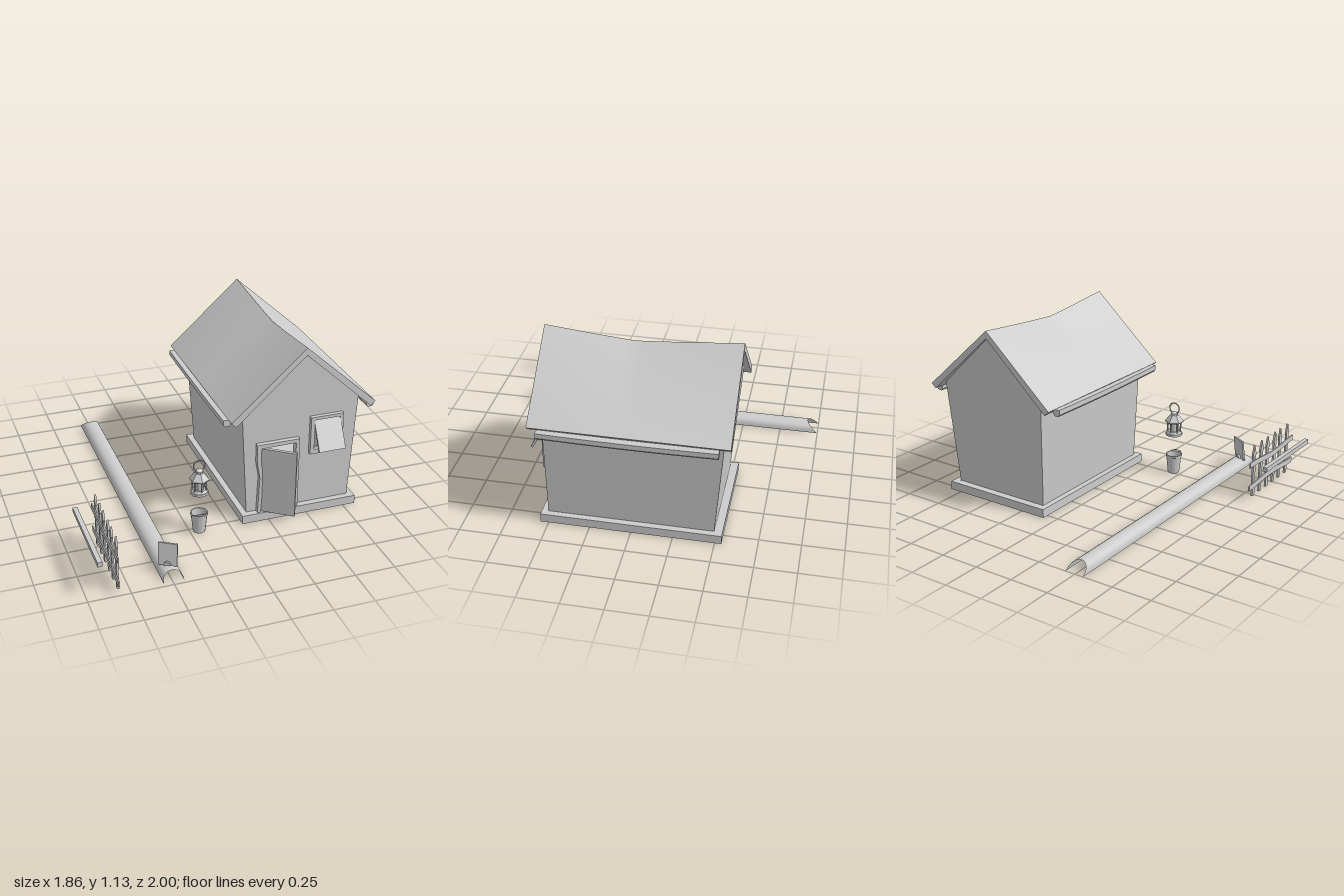
import * as THREE from 'three';

const mat = new THREE.MeshStandardMaterial({ color: 0xcccccc, side: THREE.DoubleSide });
const flat = new THREE.MeshStandardMaterial({ color: 0xcccccc, side: THREE.DoubleSide, flatShading: true });
const lerp = THREE.MathUtils.lerp;

// Add a named mesh to a parent
function add(parent, name, geo, x = 0, y = 0, z = 0, material = mat) {
  const m = new THREE.Mesh(geo, material);
  m.name = name;
  m.position.set(x, y, z);
  parent.add(m);
  return m;
}

// Move every vertex of a geometry by a rule
function warp(geo, rule) {
  const p = geo.attributes.position;
  for (let i = 0; i < p.count; i++) p.setXYZ(i, ...rule(p.getX(i), p.getY(i), p.getZ(i)));
  geo.computeVertexNormals();
  return geo;
}

const poly = (pts) => new THREE.Shape(pts.map(([x, y]) => new THREE.Vector2(x, y)));
const rect = (x0, x1, y0, y1) => poly([[x0, y0], [x1, y0], [x1, y1], [x0, y1]]);
const box = (w, h, d) => new THREE.BoxGeometry(w, h, d);
const extrude = (shape, depth) => new THREE.ExtrudeGeometry(shape, { depth, bevelEnabled: false });
const sub = (parent, name) => {
  const g = new THREE.Group();
  g.name = name;
  parent.add(g);
  return g;
};

function house(root) {
  const g = sub(root, 'house');

  // Foundation ring and floor
  const ring = rect(0.08, 0.83, -0.55, 0.54);
  ring.holes.push(rect(0.12, 0.79, -0.51, 0.5));
  add(g, 'foundation', extrude(ring, 0.055).rotateX(-Math.PI / 2));
  add(g, 'floor', box(0.68, 0.008, 1.02), 0.455, 0.05, 0.005);

  // Walls flare outward toward the eaves, and the rear one leans back
  const gable = () => poly([[0.118, 0.05], [0.79, 0.05], [0.828, 0.735], [0.45, 1.087], [0.08, 0.735]]);
  const front = gable();
  front.holes.push(poly([[0.2, 0.06], [0.425, 0.06], [0.425, 0.5], [0.195, 0.5], [0.21, 0.3]]));
  front.holes.push(rect(0.545, 0.7, 0.44, 0.625));
  add(g, 'frontWall', new THREE.ShapeGeometry(front), 0, 0, 0.51);
  const backZ = (y) => -0.49 - 0.078 * (y - 0.05);
  add(g, 'backWall', warp(new THREE.ShapeGeometry(gable()), (x, y) => [x, y, backZ(y)]));
  for (const s of [-1, 1]) {
    add(g, 'sideWall', warp(new THREE.PlaneGeometry(1, 1), (u, v) => {
      const y = lerp(0.05, 0.735, v + 0.5);
      const x = s < 0 ? lerp(0.118, 0.08, v + 0.5) : lerp(0.79, 0.828, v + 0.5);
      return [x, y, lerp(backZ(y), 0.51, 0.5 - s * u)];
    }));
  }

  // Two roof slabs sharing a ridge that sags in the middle
  for (const s of [-1, 1]) {
    add(g, 'roofSlab', warp(new THREE.BoxGeometry(1, 1, 1, 8, 1, 24), (px, py, pz) => {
      const t = 0.5 + s * px;
      const z = lerp(-0.585, 0.575, pz + 0.5);
      const d = z > 0.04 ? (z - 0.04) / 0.535 : (0.04 - z) / 0.625;
      const sag = 0.05 * (1 - Math.pow(d, 1.15)) * (1 - t);
      const outer = [0.46 * t, 1.135 - 0.415 * t];
      const inner = [0.43 * t, 1.087 - 0.395 * t];
      const k = py + 0.5;
      return [0.45 + s * lerp(inner[0], outer[0], k), lerp(inner[1], outer[1], k) - sag, z];
    }));
  }

  // Gutters with a rounded underside and a slight dip
  const profile = poly([[-0.023, 0.022], [-0.023, -0.008], [-0.013, -0.021], [0.013, -0.021], [0.023, -0.008], [0.023, 0.022]]);
  for (const [x, y] of [[-0.018, 0.697], [0.905, 0.677]]) {
    const geo = new THREE.ExtrudeGeometry(profile, { depth: 1.04, steps: 12, bevelEnabled: false });
    warp(geo, (px, py, pz) => [px, py - 0.006 * Math.sin(Math.PI * pz / 1.04), pz - 0.52]);
    add(g, 'gutter', geo, x, y, 0, flat);
  }

  // Door frame with a crooked left post
  const frame = poly([[0.18, 0.055], [0.2, 0.055], [0.213, 0.3], [0.197, 0.4], [0.197, 0.5],
    [0.42, 0.5], [0.42, 0.055], [0.443, 0.055], [0.443, 0.525], [0.17, 0.525], [0.172, 0.4], [0.19, 0.3]]);
  add(g, 'doorFrame', extrude(frame, 0.045), 0, 0, 0.495);

  // Door swung outward on its left edge
  const leaf = poly([[0.005, 0], [0.232, 0], [0.232, 0.435], [0, 0.435], [0, 0.34], [0.016, 0.24]]);
  const door = add(g, 'door', extrude(leaf, 0.02), 0.197, 0.062, 0.508);
  door.rotation.y = -0.64;

  // Window frame and shutter hinged at its top
  const win = rect(0.515, 0.727, 0.4, 0.65);
  win.holes.push(rect(0.54, 0.705, 0.43, 0.63));
  add(g, 'windowFrame', extrude(win, 0.03), 0, 0, 0.505);
  const shutter = add(g, 'shutter', box(0.172, 0.205, 0.014).translate(0, -0.1025, 0), 0.624, 0.63, 0.516);
  shutter.rotation.x = -0.5;
}

// Long low mound with rounded top and sloping ends
function mound(root) {
  const geo = warp(new THREE.PlaneGeometry(1, 1, 12, 1), (u, v) => {
    const a = (u + 0.5) * Math.PI;
    const h = 0.058 * Math.pow(Math.sin(a), 0.8) || 0;
    const z = v > 0 ? -1 + h * 1.2 : 0.98 - h * 0.7;
    return [-0.495 - 0.06 * Math.cos(a), h, z];
  });
  add(root, 'mound', geo);
}

// Small tilted board standing on a knob
function sign(root) {
  const g = sub(root, 'signpost');
  g.position.set(-0.497, 0.06, 0.872);
  g.rotation.y = -0.55;
  const board = add(g, 'board', box(0.112, 0.14, 0.012), 0, 0.062, 0);
  board.rotation.x = -0.12;
  add(g, 'knob', new THREE.CylinderGeometry(0.021, 0.021, 0.035, 10).rotateX(Math.PI / 2), 0, 0, 0.004);
}

function bucket(root) {
  const g = sub(root, 'bucket');
  g.position.set(-0.192, 0, 0.525);
  const side = [[0, 0.004], [0.034, 0.004], [0.034, 0], [0.038, 0], [0.05, 0.115], [0.054, 0.117],
    [0.054, 0.129], [0.047, 0.129], [0.035, 0.01], [0, 0.01]];
  add(g, 'pail', new THREE.LatheGeometry(side.map(([x, y]) => new THREE.Vector2(x, y)), 16), 0, 0, 0, flat);
  const handle = add(g, 'handle', new THREE.TorusGeometry(0.052, 0.003, 6, 16, Math.PI), 0, 0.118, 0);
  handle.rotation.x = 1.15;
}

function lantern(root) {
  const g = sub(root, 'lantern');
  g.position.set(-0.19, 0, 0.525);
  const cyl = (name, r0, r1, y0, y1, n = 6) =>
    add(g, name, new THREE.CylinderGeometry(r1, r0, y1 - y0, n), 0, (y0 + y1) / 2, 0, flat);
  cyl('base', 0.055, 0.055, 0.265, 0.28, 12);
  cyl('baseStep', 0.05, 0.04, 0.28, 0.292, 12);
  cyl('glass', 0.029, 0.029, 0.292, 0.365, 10);
  cyl('hood', 0.062, 0.028, 0.362, 0.405);
  cyl('hoodBrim', 0.06, 0.062, 0.356, 0.362);
  cyl('cap', 0.024, 0.024, 0.405, 0.418, 10);
  cyl('capTop', 0.024, 0.008, 0.418, 0.428, 10);
  for (let i = 0; i < 6; i++) {
    const a = i * Math.PI / 3;
    add(g, 'post', new THREE.CylinderGeometry(0.005, 0.005, 0.075, 6), 0.042 * Math.sin(a), 0.326, 0.042 * Math.cos(a));
  }
  add(g, 'ring', new THREE.TorusGeometry(0.036, 0.004, 6, 24), 0, 0.45, 0);
}

function fence(root) {
  const g = sub(root, 'fence');
  // Pointed pickets, each a little crooked
  const outline = poly([[-0.013, 0], [0.014, 0], [0.014, 0.27], [0.019, 0.285], [0, 0.345], [-0.019, 0.285], [-0.014, 0.27]]);
  [0.93, 0.837, 0.752, 0.66, 0.57, 0.48].forEach((z, i) => {
    const p = add(g, 'picket', extrude(outline, 0.012).translate(0, 0, -0.006), -0.811, 0.004, z);
    p.rotation.y = Math.PI / 2;
    p.rotation.x = [0.01, -0.015, 0.02, -0.01, 0.015, -0.01][i];
  });
  // Slightly wavy rails
  for (const y of [0.085, 0.225]) {
    const geo = warp(new THREE.BoxGeometry(0.008, 0.036, 0.59, 1, 1, 8),
      (px, py, pz) => [px, py + 0.009 * Math.sin(pz * 11 + y * 20), pz]);
    add(g, 'rail', geo, -0.819, y, 0.705);
  }
  // Spare bar beside the fence
  add(root, 'looseBar', box(0.028, 0.03, 0.585), -0.921, 0.231, 0.707);
}

export function createModel() {
  const root = new THREE.Group();
  root.name = 'cottageYard';
  [house, mound, sign, bucket, lantern, fence].forEach((build) => build(root));
  return root;
}
